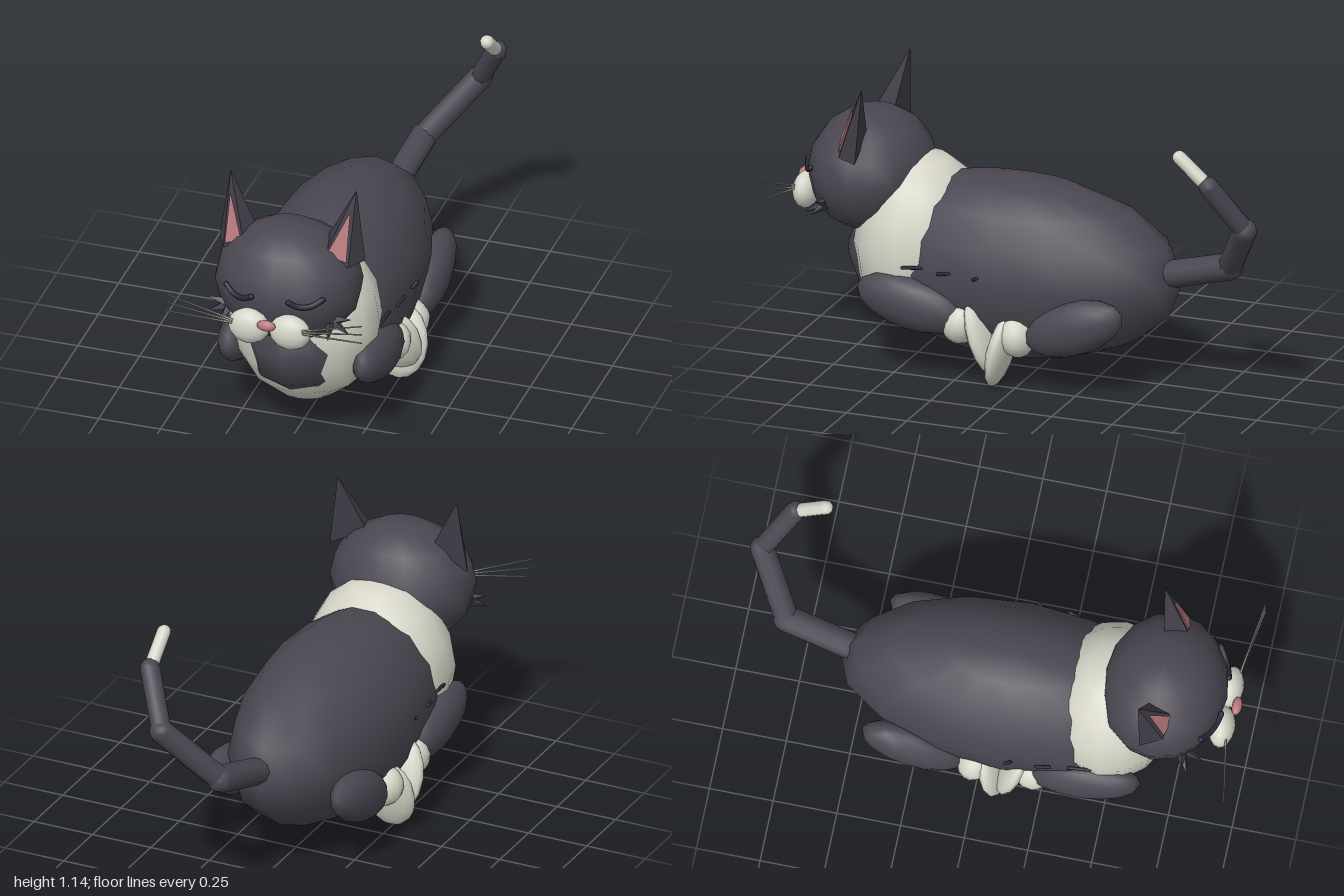
import * as THREE from 'three';

const mat = (color, side = THREE.FrontSide, flatShading = false) =>
  new THREE.MeshStandardMaterial({ color, side, flatShading });
const fur = mat(0x4b4752);
const furFlat = mat(0x3f3c46, THREE.DoubleSide, true);
const white = mat(0xd6d5c8);
const pink = mat(0xb87a7e);
const pinkFlat = mat(0xb87a7e, THREE.DoubleSide, true);
const ink = mat(0x2a2736);
const whiskerMat = mat(0xa5a49c);
const V = (x, y, z) => new THREE.Vector3(x, y, z);

export function createModel() {
  const root = new THREE.Group();

  const add = (name, geometry, material) => {
    const mesh = new THREE.Mesh(geometry, material);
    mesh.name = name;
    root.add(mesh);
    return mesh;
  };
  // Coarse smooth ellipsoid, optionally pitched about x
  const blob = (name, material, pos, radii, pitch = 0) => {
    const mesh = add(name, new THREE.SphereGeometry(1, 16, 8), material);
    mesh.position.set(...pos);
    mesh.scale.set(...radii);
    mesh.rotation.x = pitch;
  };
  // Place a y-aligned geometry between two points
  const span = (name, geometry, material, a, b) => {
    const mesh = add(name, geometry, material);
    mesh.position.lerpVectors(a, b, 0.5);
    mesh.quaternion.setFromUnitVectors(V(0, 1, 0), b.clone().sub(a).normalize());
  };
  const rod = (name, material, a, b, r) =>
    span(name, new THREE.CapsuleGeometry(r, a.distanceTo(b), 3, 10), material, a, b);
  const spike = (name, material, a, b, r) =>
    span(name, new THREE.ConeGeometry(r, a.distanceTo(b), 4), material, a, b);
  // Flat-faced solid fanned from a tip to a loop of base corners
  const pyramid = (name, material, tip, base) => {
    const pts = [];
    base.forEach((p, i) => pts.push(tip, p, base[(i + 1) % base.length]));
    for (let i = 1; i < base.length - 1; i++) pts.push(base[0], base[i + 1], base[i]);
    const g = new THREE.BufferGeometry().setFromPoints(pts);
    g.computeVertexNormals();
    add(name, g, material);
  };

  // Torso, pale ruff wrapped round the chest, and head
  blob('body', fur, [0, 0.42, 0.1], [0.32, 0.365, 0.69]);
  blob('chestRuff', white, [0, 0.47, 0.48], [0.3, 0.36, 0.26]);
  blob('head', fur, [0, 0.74, 0.685], [0.292, 0.245, 0.245]);
  blob('nose', pink, [0, 0.678, 0.968], [0.038, 0.022, 0.02]);

  for (const s of [1, -1]) {
    const side = s > 0 ? 'left' : 'right';
    const n = (part) => side + part;

    // Face
    blob(n('Muzzle'), white, [s * 0.083, 0.642, 0.927], [0.083, 0.073, 0.05]);
    const lid = new THREE.CatmullRomCurve3([
      V(s * 0.075, 0.768, 0.922), V(s * 0.11, 0.75, 0.912),
      V(s * 0.155, 0.75, 0.893), V(s * 0.195, 0.772, 0.866)]);
    add(n('ClosedEye'), new THREE.TubeGeometry(lid, 10, 0.011, 6), ink);
    [lid.getPoint(0), lid.getPoint(1)].forEach((p) =>
      blob(n('EyeCorner'), ink, p.toArray(), [0.011, 0.011, 0.011]));
    [0.765, 0.728, 0.69].forEach((y, i) => {
      const a = V(s * 0.12, 0.664 - i * 0.004, 0.95), b = V(s * 0.397, y, 0.998);
      span(n('Whisker'), new THREE.CylinderGeometry(0.0025, 0.0045, a.distanceTo(b), 6), whiskerMat, a, b);
    });
    [[0.295, 0.67, 0.81], [0.29, 0.615, 0.83], [0.22, 0.6, 0.88]].forEach(([x, y, z]) =>
      spike(n('CheekTuft'), furFlat, V(s * 0.2, 0.645, 0.79), V(s * x, y, z), 0.027));

    // Ears with a pink panel on the front
    const tip = V(s * 0.255, 1.142, 0.632);
    const base = [[0.295, 0.845, 0.645], [0.14, 0.922, 0.655], [0.165, 0.905, 0.748], [0.252, 0.848, 0.728]]
      .map(([x, y, z]) => V(s * x, y, z));
    pyramid(n('Ear'), furFlat, tip, base);
    pyramid(n('InnerEar'), pinkFlat, V(s * 0.243, 1.065, 0.672),
      [V(s * 0.172, 0.905, 0.752), V(s * 0.246, 0.872, 0.732), V(s * 0.21, 0.9, 0.7)]);

    // Tucked legs: dark upper limbs, pale socks and crossed paws
    blob(n('FrontLeg'), fur, [s * 0.272, 0.305, 0.42], [0.077, 0.105, 0.23], -0.2);
    blob(n('FrontSock'), white, [s * 0.25, 0.245, 0.22], [0.088, 0.085, 0.075], -0.3);
    blob(n('FrontPaw'), white, [s * 0.243, 0.2, 0.135], [0.113, 0.16, 0.045], 0.32);
    blob(n('HindLeg'), fur, [s * 0.268, 0.285, -0.25], [0.077, 0.105, 0.215], 0.38);
    blob(n('HindSock'), white, [s * 0.25, 0.22, -0.01], [0.088, 0.085, 0.07], 0.2);
    blob(n('HindPaw'), white, [s * 0.243, 0.153, 0.06], [0.113, 0.153, 0.045], -0.22);

    // Small flank marks
    [[0.41, 0.04, 0.29], [0.27, 0.025, 0.31], [0.135, 0.01, 0.32]].forEach(([z, h, x]) =>
      rod(n('FlankMark'), ink, V(s * x, 0.45, z + h), V(s * (x + 0.012), 0.463, z - h), 0.007));
  }

  // Jointed tail with a pale tip
  const tail = [V(0.01, 0.45, -0.5), V(0.05, 0.54, -0.81), V(0.235, 0.765, -0.945), V(0.338, 0.965, -0.835)];
  [0.054, 0.048, 0.04].forEach((r, i) => rod('tailSegment', fur, tail[i], tail[i + 1], r));
  rod('tailTip', white, V(0.338, 0.985, -0.81), V(0.338, 1.068, -0.715), 0.028);

  return root;
}
